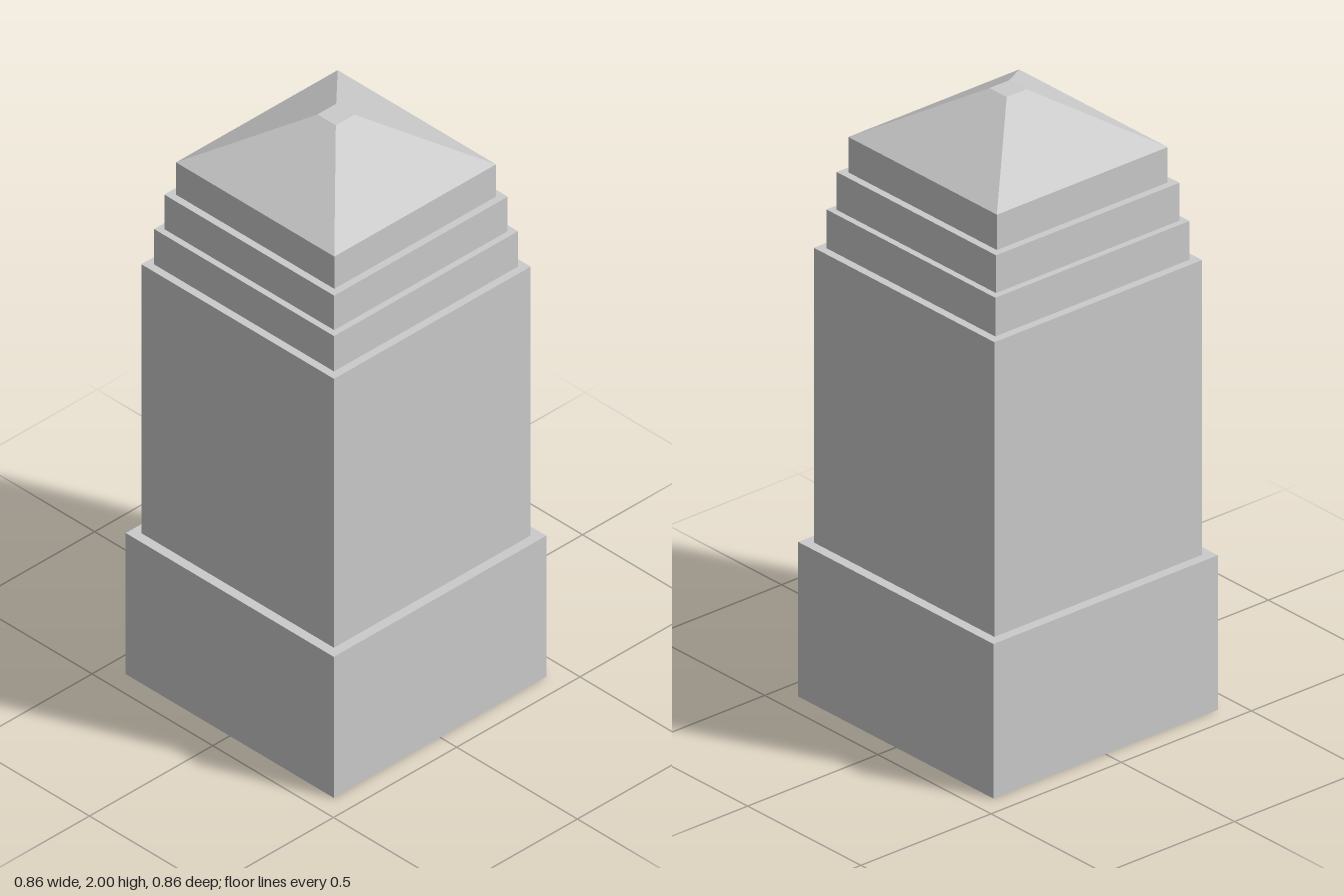
import * as THREE from 'three';

const material = new THREE.MeshStandardMaterial({
  color: 0xcccccc, flatShading: true, side: THREE.DoubleSide,
});

// Square shell swept through [half width, height] points, open at both ends
function squareShell(name, profile) {
  const points = profile.map(([half, y]) => new THREE.Vector2(half * Math.SQRT2, y));
  const geometry = new THREE.LatheGeometry(points, 4, Math.PI / 4).toNonIndexed();
  geometry.computeVertexNormals();
  const mesh = new THREE.Mesh(geometry, material);
  mesh.name = name;
  return mesh;
}

export function createModel() {
  const group = new THREE.Group();
  group.name = 'steppedPillar';

  // Hollow tiers: name, half width, top height
  const tiers = [
    ['base', 0.431, 0.503],
    ['shaft', 0.399, 1.462],
    ['lowerStep', 0.373, 1.588],
    ['middleStep', 0.352, 1.711],
    ['upperStep', 0.328, 1.826],
  ];
  let bottom = 0;
  tiers.forEach(([name, half, top], i) => {
    const profile = [[half, bottom], [half, top]];
    // Ledge running in to the next tier
    if (i < tiers.length - 1) profile.push([tiers[i + 1][1], top]);
    group.add(squareShell(name, profile));
    bottom = top;
  });

  // Sloping roof with a small flat top
  const tip = 0.038;
  group.add(squareShell('roof', [[0.328, bottom], [tip, 2]]));
  const cap = new THREE.Mesh(new THREE.PlaneGeometry(tip * 2, tip * 2), material);
  cap.name = 'roofCap';
  cap.rotation.x = -Math.PI / 2;
  cap.position.y = 2;
  group.add(cap);

  return group;
}
